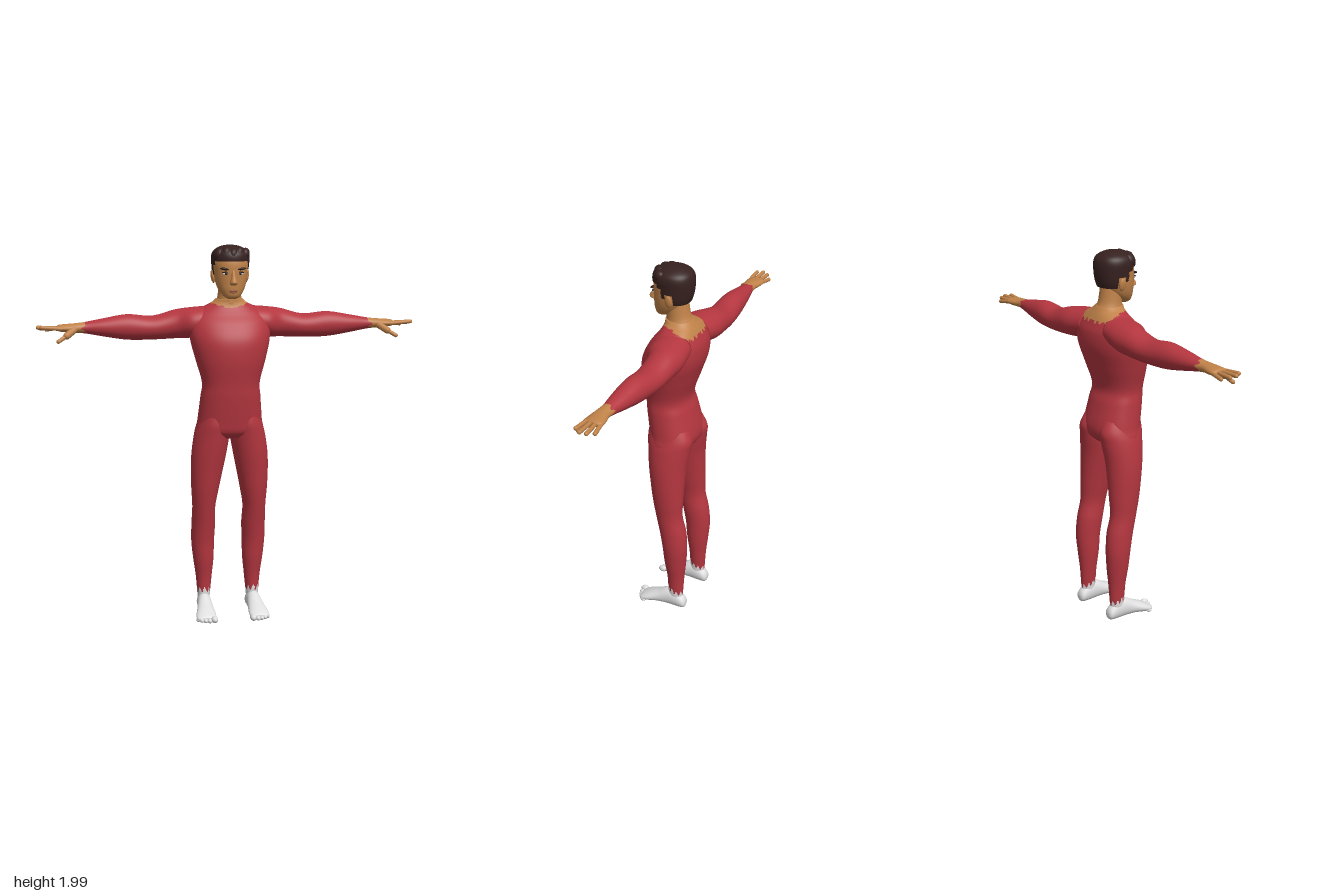
import * as THREE from 'three';

const mat = (name, color, side = THREE.FrontSide) => {
  const m = new THREE.MeshStandardMaterial({ color, side });
  m.name = name;
  return m;
};

// Scalar Catmull-Rom through section rows, parameterised by row index
function sampleRow(rows, u) {
  const i = Math.min(Math.floor(u), rows.length - 2), f = u - i;
  const at = k => rows[Math.max(0, Math.min(rows.length - 1, k))];
  return rows[0].map((_, c) => {
    const a = at(i - 1)[c], b = at(i)[c], d = at(i + 1)[c], e = at(i + 2)[c];
    return b + 0.5 * f * (d - a + f * (2 * a - 5 * b + 4 * d - e + f * (3 * (b - d) + e - a)));
  });
}

const AXES = {
  x: (t, a, b) => [t, b, a], // rows: x, zMin, zMax, yMin, yMax
  y: (t, a, b) => [a, t, b], // rows: y, xMin, xMax, zMin, zMax
  z: (t, a, b) => [b, a, t], // rows: z, yMin, yMax, xMin, xMax
};

// Smooth closed skin over elliptical sections; paint() picks a material per face (-1 drops it)
function loft(rows, axis, { seg = 40, sub = 6, p = 1, mirror = 1, paint = null } = {}) {
  const pos = [], tris = [], rings = (rows.length - 1) * sub;
  const put = (t, a, b) => {
    const q = AXES[axis](t, a, b);
    pos.push(q[0] * mirror, q[1], q[2]);
  };
  const pw = v => Math.sign(v) * Math.abs(v) ** p;
  for (let i = 0; i <= rings; i++) {
    const [t, a0, a1, b0, b1] = sampleRow(rows, i / sub);
    for (let j = 0; j < seg; j++) {
      const th = j / seg * Math.PI * 2;
      put(t, (a0 + a1) / 2 + (a1 - a0) / 2 * pw(Math.cos(th)), (b0 + b1) / 2 + (b1 - b0) / 2 * pw(Math.sin(th)));
    }
  }
  const ends = [rows[0], rows[rows.length - 1]];
  for (const [t, a0, a1, b0, b1] of ends) put(t, (a0 + a1) / 2, (b0 + b1) / 2);
  const end0 = (rings + 1) * seg;
  const tri = (a, b, c) => tris.push(mirror > 0 ? [a, b, c] : [a, c, b]);
  for (let j = 0; j < seg; j++) {
    const k = (j + 1) % seg;
    for (let i = 0; i < rings; i++) {
      const A = i * seg + j, B = A + seg, C = i * seg + k, D = C + seg;
      tri(A, B, C);
      tri(B, D, C);
    }
    tri(end0, j, k);
    tri(end0 + 1, rings * seg + k, rings * seg + j);
  }
  const geo = new THREE.BufferGeometry();
  geo.setAttribute('position', new THREE.Float32BufferAttribute(pos, 3));
  geo.setIndex(tris.flat());
  geo.computeVertexNormals();
  if (paint) {
    const sets = [[], []];
    for (const t of tris) {
      const mid = [0, 1, 2].map(c => (pos[t[0] * 3 + c] + pos[t[1] * 3 + c] + pos[t[2] * 3 + c]) / 3);
      const s = paint(Math.abs(mid[0]), mid[1], mid[2]);
      if (s >= 0) sets[s].push(...t);
    }
    geo.setIndex(sets.flat());
    geo.addGroup(0, sets[0].length, 0);
    geo.addGroup(sets[0].length, sets[1].length, 1);
  }
  return geo;
}

const sym = rows => rows.map(([t, w, b0, b1]) => [t, -w, w, b0, b1]);

export function createModel() {
  const root = new THREE.Group();
  root.name = 'figure';
  const red = mat('red suit', 0xb4363f), skin = mat('skin', 0xc08249), white = mat('white sock', 0xdedede);
  const hair = mat('dark hair', 0x36211f, THREE.DoubleSide), dark = mat('brow and iris', 0x241614);
  const eyeWhite = mat('eye white', 0xd6cbc0), lip = mat('lips', 0x96583a);

  const add = (name, geo, material) => {
    const m = new THREE.Mesh(geo, material);
    m.name = name;
    root.add(m);
    return m;
  };
  const blob = (name, material, at, size, rz = 0) => {
    const m = add(name, new THREE.SphereGeometry(1, 18, 12), material);
    m.position.set(...at);
    m.scale.set(...size);
    m.rotation.z = rz;
  };
  const digit = (name, material, from, to, r) => {
    const a = new THREE.Vector3(...from), b = new THREE.Vector3(...to), d = b.clone().sub(a);
    const m = add(name, new THREE.CapsuleGeometry(r, d.length(), 5, 12), material);
    m.position.copy(a).add(b).multiplyScalar(0.5);
    m.quaternion.setFromUnitVectors(new THREE.Vector3(0, 1, 0), d.normalize());
  };

  // Torso, with a ragged neckline that dips at the back
  add('torso', loft(sym([
    [0.985, 0.12, -0.09, 0.07], [1.02, 0.176, -0.124, 0.105], [1.08, 0.17, -0.133, 0.118],
    [1.2, 0.158, -0.104, 0.135], [1.28, 0.152, -0.085, 0.142], [1.4, 0.184, -0.122, 0.156],
    [1.5, 0.208, -0.153, 0.15], [1.58, 0.212, -0.155, 0.113], [1.63, 0.19, -0.138, 0.075],
    [1.665, 0.14, -0.12, 0.052], [1.69, 0.092, -0.104, 0.045], [1.71, 0.07, -0.09, 0.045],
  ]), 'y', {
    seg: 72, sub: 8, p: 0.9,
    paint: (x, y, z) => {
      const jag = 0.008 * Math.sin(x * 170);
      const edge = z < -0.04 ? 1.64 + jag : 1.663 + x * 0.25 + jag * 0.3;
      return x < 0.115 && y > edge ? 1 : 0;
    },
  }), [red, skin]);

  // Neck and head
  add('neck', loft(sym([
    [1.65, 0.078, -0.105, 0.045], [1.69, 0.07, -0.098, 0.046], [1.73, 0.061, -0.08, 0.043],
    [1.8, 0.058, -0.068, 0.05], [1.85, 0.055, -0.06, 0.05],
  ]), 'y'), skin);
  add('head', loft(sym([
    [1.715, 0.022, 0.045, 0.085], [1.728, 0.043, 0.02, 0.1], [1.76, 0.066, -0.03, 0.107],
    [1.8, 0.08, -0.06, 0.109], [1.85, 0.087, -0.08, 0.111], [1.9, 0.089, -0.088, 0.109],
    [1.95, 0.074, -0.078, 0.09], [1.972, 0.04, -0.045, 0.055],
  ]), 'y', { p: 0.92 }), skin);
  add('nose', loft(sym([
    [1.785, 0.011, 0.09, 0.118], [1.792, 0.02, 0.09, 0.138], [1.803, 0.018, 0.09, 0.145],
    [1.83, 0.011, 0.09, 0.128], [1.862, 0.009, 0.09, 0.113],
  ]), 'y', { seg: 20 }), skin);
  blob('upperLip', lip, [0, 1.758, 0.104], [0.025, 0.004, 0.009]);
  blob('lowerLip', lip, [0, 1.75, 0.102], [0.02, 0.005, 0.009]);

  // Hair cap trimmed along the hairline, sideburns and nape
  add('hairCap', loft(sym([
    [1.785, 0.072, -0.072, 0.06], [1.83, 0.089, -0.09, 0.09], [1.88, 0.096, -0.099, 0.112],
    [1.93, 0.098, -0.099, 0.116], [1.96, 0.084, -0.085, 0.1], [1.98, 0.05, -0.05, 0.065],
    [1.986, 0.02, -0.02, 0.03],
  ]), 'y', {
    seg: 64, sub: 8, p: 0.95,
    paint: (x, y, z) => {
      const line = z > 0.06 ? 1.905 : z > 0.035 ? 1.885 : z > 0.012 ? 1.835 : z > -0.028 ? 1.86 : 1.803;
      return y > line ? 0 : -1;
    },
  }), [hair, hair]);
  // Wavy locks over the forehead and crown
  for (let i = 0; i < 5; i++) {
    const x = -0.066 + i * 0.033;
    blob('frontLock', hair, [x, 1.94 + 0.006 * (i % 2), 0.082 - Math.abs(x) * 0.45], [0.026, 0.034, 0.034], -0.4);
    blob('crownLock', hair, [x * 0.8, 1.962 - Math.abs(x) * 0.2, 0.03], [0.025, 0.025, 0.04], 0.3);
  }

  for (const s of [1, -1]) {
    const side = s > 0 ? 'left' : 'right';
    // Face details
    blob(side + 'Eye', eyeWhite, [s * 0.037, 1.844, 0.099], [0.018, 0.008, 0.007]);
    blob(side + 'Iris', dark, [s * 0.036, 1.844, 0.104], [0.007, 0.007, 0.004]);
    blob(side + 'Eyelid', dark, [s * 0.037, 1.852, 0.1], [0.021, 0.0035, 0.008], s * -0.1);
    blob(side + 'Brow', dark, [s * 0.041, 1.868, 0.101], [0.027, 0.0065, 0.01], s * 0.12);
    blob(side + 'Ear', skin, [s * 0.089, 1.825, -0.006], [0.011, 0.034, 0.02], s * -0.15);

    // Arm: suit sleeve running into the bare palm
    add(side + 'Arm', loft([
      [0.1, -0.14, 0.05, 1.53, 1.672], [0.2, -0.154, 0.052, 1.506, 1.664], [0.28, -0.15, 0.014, 1.502, 1.652],
      [0.4, -0.14, 0.01, 1.498, 1.622], [0.53, -0.124, 0.006, 1.5, 1.632], [0.65, -0.104, 0, 1.519, 1.614],
      [0.74, -0.085, -0.01, 1.536, 1.598], [0.79, -0.079, -0.006, 1.542, 1.592], [0.84, -0.09, 0, 1.545, 1.588],
      [0.88, -0.094, -0.002, 1.55, 1.584], [0.895, -0.08, -0.015, 1.558, 1.576],
    ], 'x', { sub: 8, mirror: s, paint: (x, y, z) => (x > 0.758 + 0.012 * Math.sin(y * 190 + z * 60) ? 1 : 0) }), [red, skin]);
    // Fingers and thumb
    [[-0.092, 0.945, 1.556], [-0.067, 0.978, 1.566], [-0.038, 0.988, 1.572], [-0.008, 0.97, 1.574]].forEach(([z, x, y], i) =>
      digit(side + 'Finger', skin, [s * 0.87, 1.566, -0.082 + i * 0.024], [s * x, y, z], 0.0105));
    digit(side + 'ThumbBase', skin, [s * 0.805, 1.56, -0.015], [s * 0.845, 1.532, 0.016], 0.018);
    digit(side + 'Thumb', skin, [s * 0.845, 1.532, 0.016], [s * 0.888, 1.506, 0.034], 0.0105);

    // Leg, ending in the ragged top of the sock
    add(side + 'Leg', loft([
      [0.04, 0.105, 0.165, -0.11, -0.035], [0.1, 0.1, 0.168, -0.114, -0.03], [0.2, 0.09, 0.176, -0.12, -0.025],
      [0.3, 0.08, 0.19, -0.13, -0.01], [0.4, 0.077, 0.2, -0.137, 0], [0.5, 0.073, 0.2, -0.13, 0.018],
      [0.6, 0.075, 0.198, -0.108, 0.04], [0.7, 0.058, 0.204, -0.108, 0.06], [0.8, 0.038, 0.207, -0.11, 0.075],
      [0.9, 0.018, 0.203, -0.115, 0.09], [1, 0.002, 0.188, -0.13, 0.102], [1.06, 0.005, 0.171, -0.137, 0.108],
      [1.12, 0.02, 0.15, -0.11, 0.1],
    ], 'y', {
      seg: 48, sub: 10, mirror: s,
      paint: (x, y, z) => {
        const th = Math.atan2(z + 0.072, x - 0.134);
        return y < 0.115 + 0.018 * Math.sin(th) + 0.014 * Math.sin(th * 9) ? 1 : 0;
      },
    }), [red, white]);

    // Foot with five toes
    add(side + 'Foot', loft([
      [-0.134, 0.02, 0.045, 0.12, 0.15], [-0.122, 0.004, 0.07, 0.104, 0.164], [-0.08, 0, 0.105, 0.098, 0.17],
      [-0.03, 0.002, 0.11, 0.098, 0.174], [0.03, 0.004, 0.08, 0.094, 0.184], [0.085, 0, 0.055, 0.09, 0.196],
      [0.12, 0.002, 0.036, 0.094, 0.194], [0.132, 0.01, 0.026, 0.108, 0.175],
    ], 'z', { mirror: s }), white);
    [[0.105, 0.137, 0.018], [0.131, 0.139, 0.013], [0.152, 0.133, 0.012], [0.171, 0.123, 0.012], [0.188, 0.108, 0.011]]
      .forEach(([x, z, r]) => blob(side + 'Toe', white, [s * x, r, z], [r, r, r * 1.4]));
  }
  return root;
}
